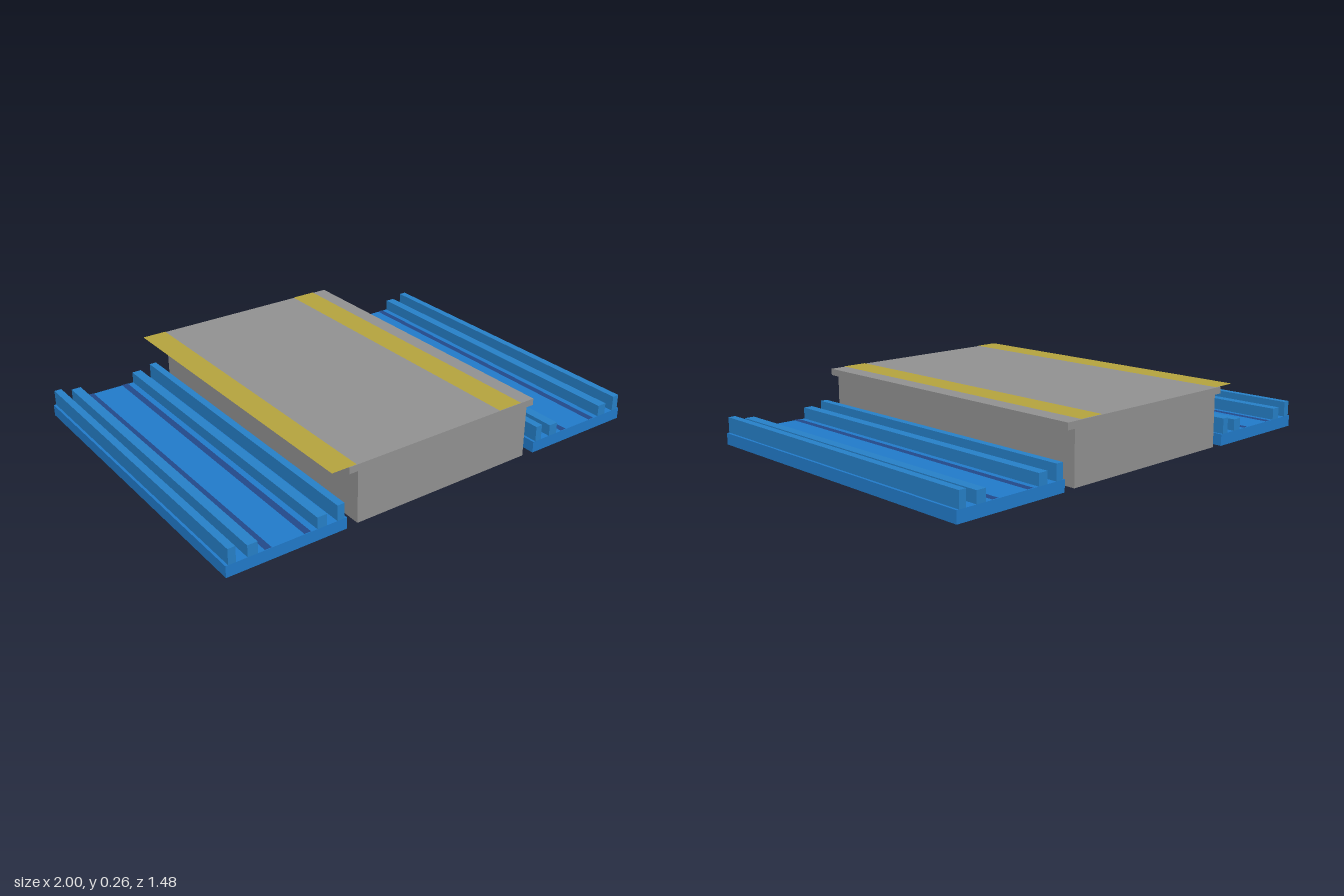
import * as THREE from 'three';

const paint = (name, color, side = THREE.FrontSide) => {
  const m = new THREE.MeshStandardMaterial({ color, side });
  m.name = name;
  return m;
};

export function createModel() {
  const blue = paint('blue', 0x217bcb);
  const ribBlue = paint('rib blue', 0x2680c8);
  const navy = paint('navy', 0x22498a, THREE.DoubleSide);
  const grey = paint('grey', 0x929292);
  const yellow = paint('yellow', 0xb5a43e, THREE.DoubleSide);

  // box spanning x0..x1 and y0..y1, running the full depth
  const bar = (parent, name, mat, x0, x1, y0, y1, depth) => {
    const mesh = new THREE.Mesh(new THREE.BoxGeometry(x1 - x0, y1 - y0, depth), mat);
    mesh.position.set((x0 + x1) / 2, (y0 + y1) / 2, 0);
    mesh.name = name;
    parent.add(mesh);
  };
  // flat painted strip lying at height y
  const strip = (parent, name, mat, x0, x1, y, depth) => {
    const mesh = new THREE.Mesh(new THREE.PlaneGeometry(x1 - x0, depth).rotateX(-Math.PI / 2), mat);
    mesh.position.set((x0 + x1) / 2, y, 0);
    mesh.name = name;
    parent.add(mesh);
  };

  const model = new THREE.Group();
  model.name = 'stationSection';

  // platform with overhanging top slab and edge lines
  const platform = new THREE.Group();
  platform.name = 'platform';
  bar(platform, 'platformBody', grey, -0.428, 0.425, 0.003, 0.228, 1.468);
  bar(platform, 'platformTop', grey, -0.467, 0.461, 0.228, 0.257, 1.468);
  strip(platform, 'rightEdgeLine', yellow, -0.545, -0.434, 0.259, 1.468);
  strip(platform, 'leftEdgeLine', yellow, 0.276, 0.391, 0.259, 1.468);
  model.add(platform);

  // one trackway on each side
  for (const s of [-1, 1]) {
    const track = new THREE.Group();
    track.name = s < 0 ? 'rightTrack' : 'leftTrack';
    track.position.x = s * 0.74;
    bar(track, 'trackBed', blue, -0.26, 0.26, 0, 0.05, 1.476);
    for (const m of [-1, 1]) {
      const span = (a, b) => (m < 0 ? [-b, -a] : [a, b]);
      bar(track, 'outerRib', ribBlue, ...span(0.217, 0.249), 0.05, 0.117, 1.476);
      bar(track, 'innerRib', ribBlue, ...span(0.127, 0.17), 0.05, 0.1, 1.476);
      strip(track, 'railLine', navy, ...span(0.07, 0.099), 0.052, 1.476);
    }
    model.add(track);
  }
  return model;
}
